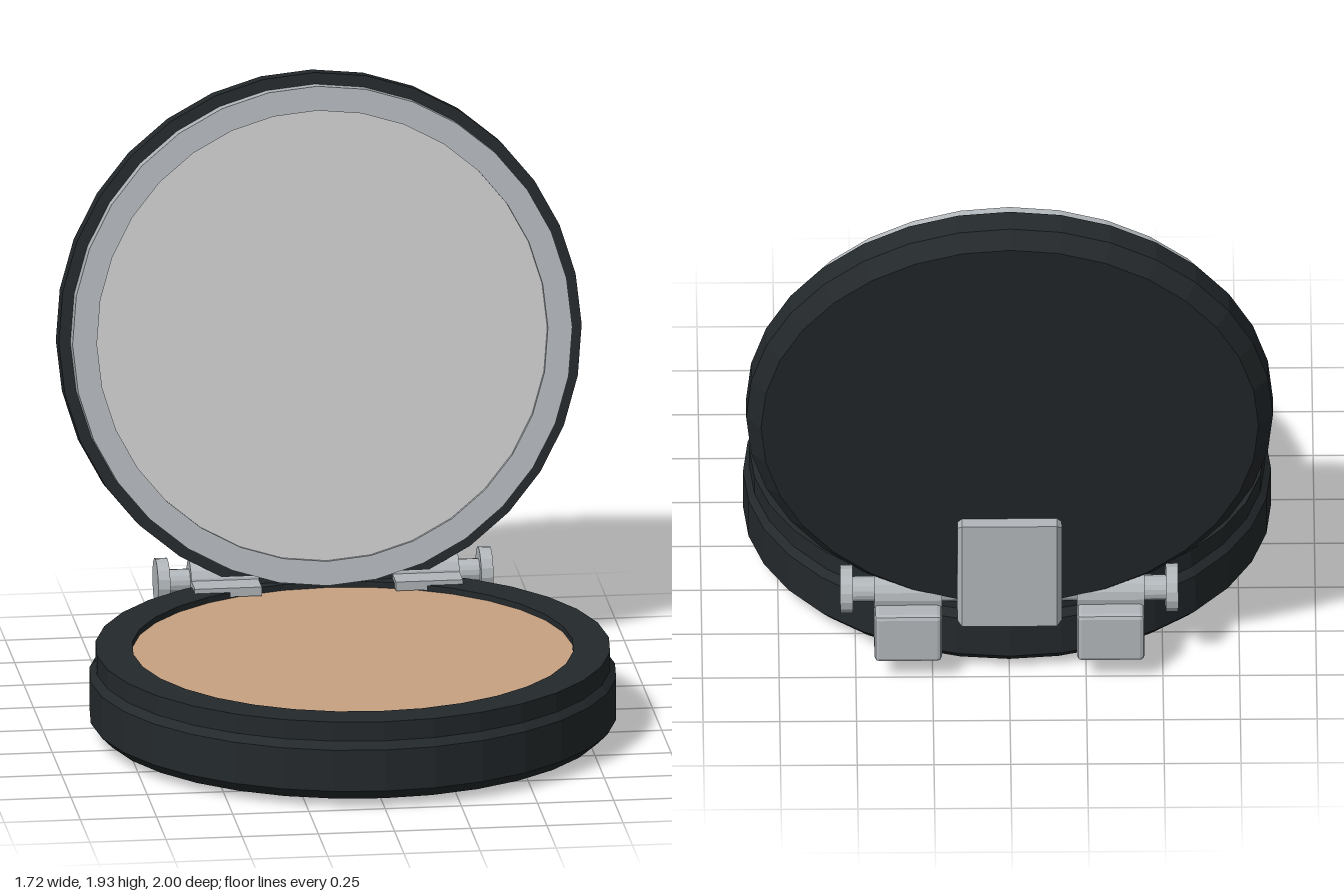
import * as THREE from 'three';
import { RoundedBoxGeometry } from 'three/addons/geometries/RoundedBoxGeometry.js';

const SIDES = 32;
const material = (color) => new THREE.MeshStandardMaterial({ color, flatShading: true });

export function createModel() {
  const model = new THREE.Group();
  model.name = 'compact';
  const dark = material(0x24292c);
  const metal = material(0xb2b7bb);
  const glass = material(0xcccccc);
  const powder = material(0xc8a282);

  const add = (parent, name, geometry, mat, x = 0, y = 0, z = 0) => {
    const mesh = new THREE.Mesh(geometry, mat);
    mesh.name = name;
    mesh.position.set(x, y, z);
    parent.add(mesh);
    return mesh;
  };
  // Profile runs from the bottom outwards, up and back in
  const turned = (points) =>
    new THREE.LatheGeometry(points.map(([r, y]) => new THREE.Vector2(r, y)), SIDES);
  const disc = (radius) => new THREE.CircleGeometry(radius, SIDES).rotateX(-Math.PI / 2);

  // Base with stepped rim and shallow recess
  const base = new THREE.Group();
  base.name = 'base';
  base.position.z = 0.14;
  model.add(base);
  add(base, 'baseShell', turned([
    [0, 0], [0.7, 0], [0.825, 0.025], [0.86, 0.06], [0.86, 0.2], [0.84, 0.225],
    [0.84, 0.29], [0.72, 0.29], [0.72, 0.265], [0, 0.265],
  ]), dark);
  add(base, 'powderPan', disc(0.72), powder, 0, 0.27, 0);

  // Lid leaning back, its local y axis pointing out of the mirror
  const lid = new THREE.Group();
  lid.name = 'lid';
  lid.position.set(0, 1.1, -0.67);
  lid.rotation.x = THREE.MathUtils.degToRad(80);
  model.add(lid);
  add(lid, 'lidShell', turned([
    [0, -0.19], [0.81, -0.19], [0.858, -0.14], [0.858, -0.06], [0, -0.06],
  ]), dark);
  add(lid, 'mirrorFrame', turned([
    [0.82, -0.06], [0.82, 0], [0.74, 0], [0.74, -0.025],
  ]), metal);
  add(lid, 'mirror', disc(0.74), glass, 0, -0.02, 0);

  // Hinge pin, barrels, knobs and the blocks that hold them
  const hinge = new THREE.Group();
  hinge.name = 'hinge';
  hinge.position.set(0, 0.285, -0.655);
  model.add(hinge);
  const rod = (radius, length) =>
    new THREE.CylinderGeometry(radius, radius, length, 16).rotateZ(Math.PI / 2);
  add(hinge, 'hingePin', rod(0.042, 1.04), metal);
  for (const side of [-1, 1]) {
    add(hinge, 'hingeBarrel', rod(0.07, 0.22), metal, side * 0.33, 0, 0);
    add(hinge, 'hingeKnob', rod(0.08, 0.04), metal, side * 0.53, 0, 0);
    add(hinge, 'hingeBlock', new RoundedBoxGeometry(0.22, 0.18, 0.19, 1, 0.015), metal,
      side * 0.33, -0.11, -0.04);
    add(hinge, 'hingeTab', new THREE.BoxGeometry(0.22, 0.03, 0.15), metal,
      side * 0.33, 0.005, 0.08);
  }

  // Wedge plate joining the lid's back to the pin; shape x is depth behind the origin
  const wedge = new THREE.Shape([
    [0.7, 0.27], [0.815, 0.27], [0.815, 0.635], [0.77, 0.635],
  ].map(([x, y]) => new THREE.Vector2(x, y)));
  const width = 0.34;
  const plate = new THREE.ExtrudeGeometry(wedge, {
    depth: width - 0.03, bevelThickness: 0.015, bevelSize: 0.015, bevelSegments: 1,
  });
  plate.translate(0, 0, -(width - 0.03) / 2).rotateY(Math.PI / 2);
  add(model, 'lidPlate', plate, metal);

  return model;
}
